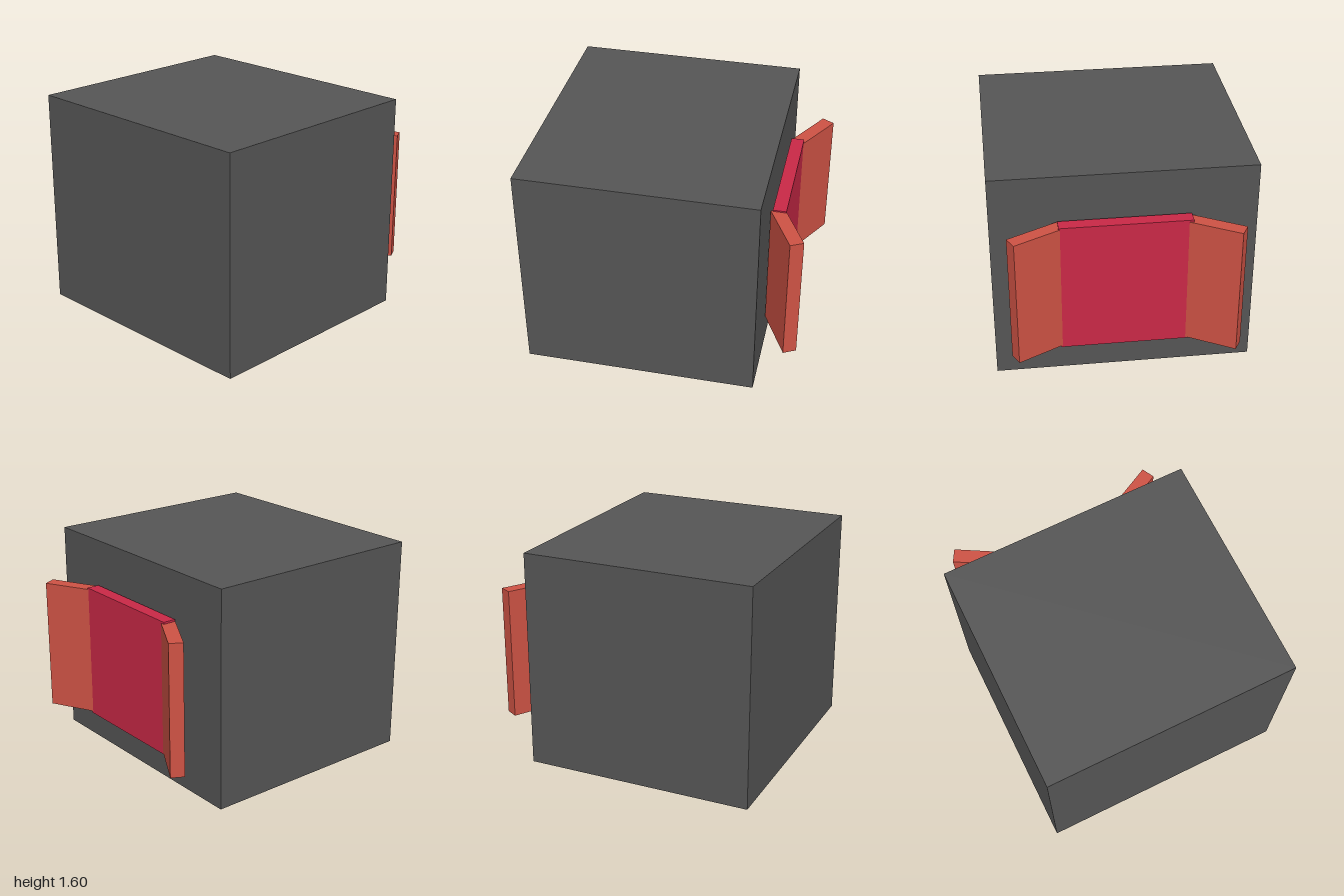
import * as THREE from 'three';

const paint = (color) => new THREE.MeshStandardMaterial({ color });

function block(name, size, position, material, turn = 0) {
  const mesh = new THREE.Mesh(new THREE.BoxGeometry(...size), material);
  mesh.name = name;
  mesh.position.set(...position);
  mesh.rotation.y = turn;
  return mesh;
}

export function createModel() {
  const model = new THREE.Group();
  const dark = paint(0x555555);
  const crimson = paint(0xc92846);
  const brick = paint(0xcd5244);

  // Large plain body
  model.add(block('body', [1.69, 1.6, 1.866], [-0.155, 0.8, 0], dark));

  // Upright panel just off the side of the body
  model.add(block('centrePanel', [0.095, 1, 0.93], [0.758, 0.765, 0], crimson));

  // Two wings angled outward from the panel's ends
  model.add(block('frontWing', [0.1, 0.975, 0.405], [0.8325, 0.767, 0.6175], brick, 0.475));
  model.add(block('backWing', [0.1, 0.975, 0.398], [0.8525, 0.763, -0.6175], brick, -0.515));

  return model;
}
